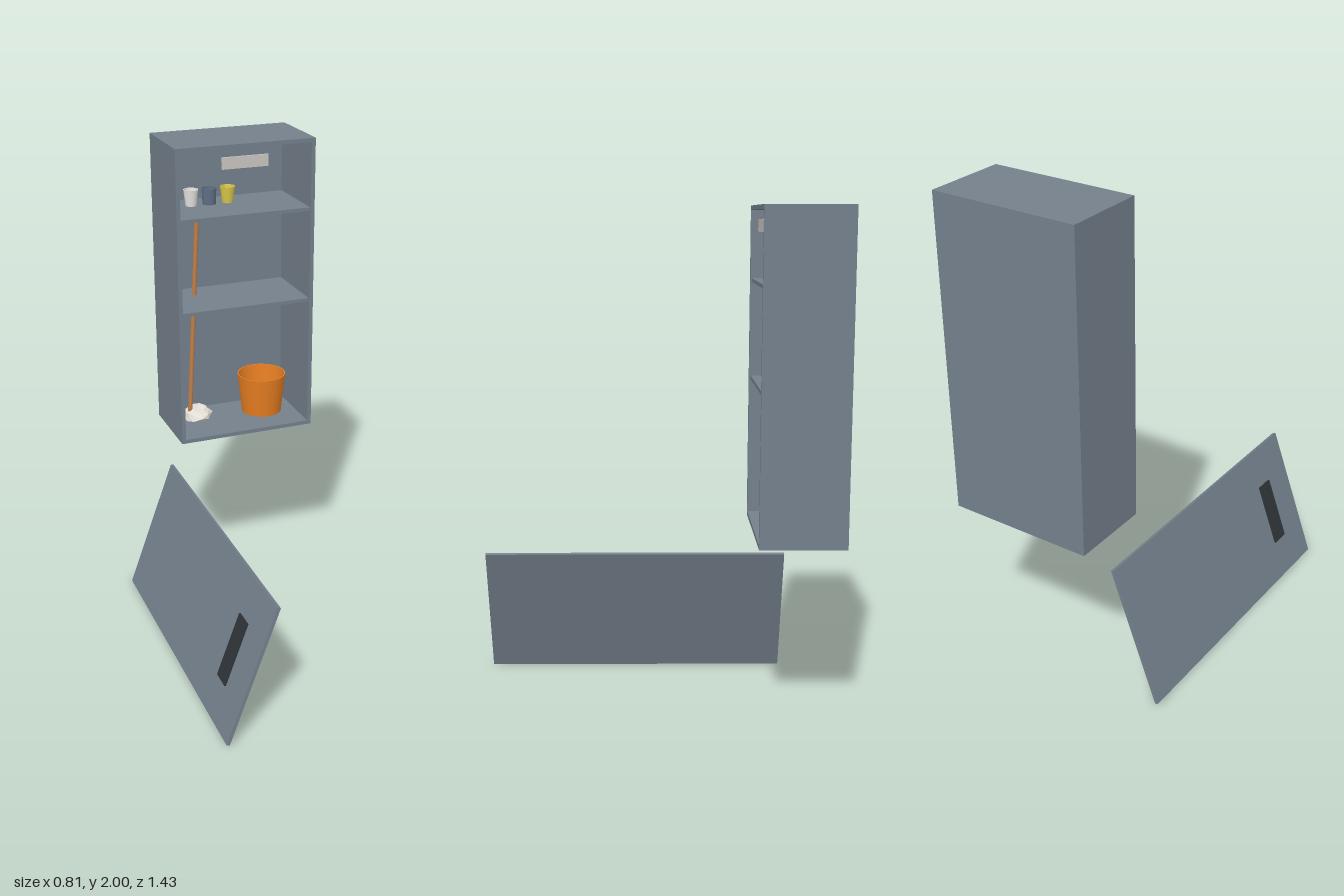
import * as THREE from 'three';

const mat = (name, color, opts = {}) => new THREE.MeshStandardMaterial({ name, color, ...opts });

export function createModel() {
  const root = new THREE.Group();
  root.name = 'utilityCabinet';

  const slate = mat('slate', 0x74808c);
  const charcoal = mat('charcoal', 0x2f3438);
  const wood = mat('wood', 0xb87a45);
  const orange = mat('orange', 0xe67e22, { side: THREE.DoubleSide });
  const mopWhite = mat('mopWhite', 0xe2ded6, { flatShading: true });
  const plateGrey = mat('plateGrey', 0xcac5c0);
  const cupWhite = mat('cupWhite', 0xe8e6e1, { side: THREE.DoubleSide });
  const cupBlue = mat('cupBlue', 0x5f6f85, { side: THREE.DoubleSide });
  const cupYellow = mat('cupYellow', 0xdcc84c, { side: THREE.DoubleSide });

  const add = (parent, name, geometry, material, x = 0, y = 0, z = 0) => {
    const mesh = new THREE.Mesh(geometry, material);
    mesh.name = name;
    mesh.position.set(x, y, z);
    parent.add(mesh);
    return mesh;
  };
  const box = (parent, name, material, w, h, d, x, y, z) =>
    add(parent, name, new THREE.BoxGeometry(w, h, d), material, x, y, z);

  // Open-fronted cabinet: a rectangular frame, a back panel and two shelves
  const cabinet = new THREE.Group();
  cabinet.name = 'cabinet';
  root.add(cabinet);
  const x0 = -0.2, x1 = 0.4, y0 = 0.73, y1 = 2, zBack = -0.72, zFront = -0.385, t = 0.017;
  const rect = (Type, i) => {
    const p = new Type();
    p.moveTo(x0 + i, y0 + i);
    p.lineTo(x1 - i, y0 + i);
    p.lineTo(x1 - i, y1 - i);
    p.lineTo(x0 + i, y1 - i);
    p.closePath();
    return p;
  };
  const frame = rect(THREE.Shape, 0);
  frame.holes.push(rect(THREE.Path, t));
  add(cabinet, 'cabinetFrame',
    new THREE.ExtrudeGeometry(frame, { depth: zFront - zBack, bevelEnabled: false }), slate, 0, 0, zBack);
  box(cabinet, 'backPanel', slate, 0.57, 1.24, t, 0.1, 1.365, zBack + t / 2);
  for (const [name, y] of [['upperShelf', 1.704], ['lowerShelf', 1.309]])
    box(cabinet, name, slate, 0.57, 0.015, 0.31, 0.1, y, -0.547);
  box(cabinet, 'namePlate', plateGrey, 0.2, 0.048, 0.009, 0.1, 1.923, -0.403);

  // Detached door leaning on its long edge, with a flat handle
  const door = new THREE.Group();
  door.name = 'door';
  door.position.set(-0.3, 0.281, 0.085);
  door.rotation.z = -THREE.MathUtils.degToRad(20);
  root.add(door);
  box(door, 'doorPanel', slate, 0.014, 0.592, 1.26, 0, 0, 0);
  box(door, 'doorHandle', charcoal, 0.01, 0.272, 0.082, -0.009, 0, 0.436);

  // Open vessel with a thin wall and a floor, turned on its axis
  const vessel = (name, material, rBottom, rTop, h, wall, x, y, z) => {
    const profile = [
      [0, 0], [rBottom, 0], [rTop, h], [rTop - wall, h], [rBottom - wall, wall], [0, wall],
    ];
    // Separate bands keep the rim and base edges crisp
    const group = new THREE.Group();
    group.name = name;
    group.position.set(x, y, z);
    const parts = ['base', 'wall', 'rim', 'inside', 'floor'];
    parts.forEach((part, i) => {
      const pts = [profile[i], profile[i + 1]].map(([r, v]) => new THREE.Vector2(r, v));
      add(group, part, new THREE.LatheGeometry(pts, 32), material);
    });
    root.add(group);
  };
  vessel('bucket', orange, 0.088, 0.107, 0.178, 0.005, 0.237, 0.75, -0.57);
  const shelfTop = 1.7115;
  vessel('whiteCup', cupWhite, 0.023, 0.031, 0.068, 0.003, -0.067, shelfTop, -0.6);
  vessel('blueCup', cupBlue, 0.028, 0.031, 0.068, 0.003, 0.013, shelfTop, -0.6);
  vessel('yellowCup', cupYellow, 0.023, 0.032, 0.068, 0.003, 0.095, shelfTop, -0.6);

  // Mop: slanted stick and a crumpled head
  const mop = new THREE.Group();
  mop.name = 'mop';
  root.add(mop);
  const low = new THREE.Vector3(-0.108, 0.78, -0.553);
  const high = new THREE.Vector3(-0.024, 1.693, -0.65);
  const axis = high.clone().sub(low);
  const stick = add(mop, 'mopStick', new THREE.CylinderGeometry(0.01, 0.01, axis.length(), 12), wood);
  stick.position.copy(low).lerp(high, 0.5);
  stick.quaternion.setFromUnitVectors(new THREE.Vector3(0, 1, 0), axis.normalize());

  const head = new THREE.IcosahedronGeometry(1, 1);
  const p = head.attributes.position;
  const v = new THREE.Vector3();
  for (let i = 0; i < p.count; i++) {
    v.fromBufferAttribute(p, i);
    const crumple = 1 + 0.13 * Math.sin(7 * v.x + 5 * v.y + 9 * v.z);
    p.setXYZ(i, v.x * crumple * 0.066, Math.max(v.y * crumple * 0.034, -0.032), v.z * crumple * 0.066);
  }
  head.computeVertexNormals();
  add(mop, 'mopHead', head, mopWhite, -0.07, 0.781, -0.563);

  return root;
}
